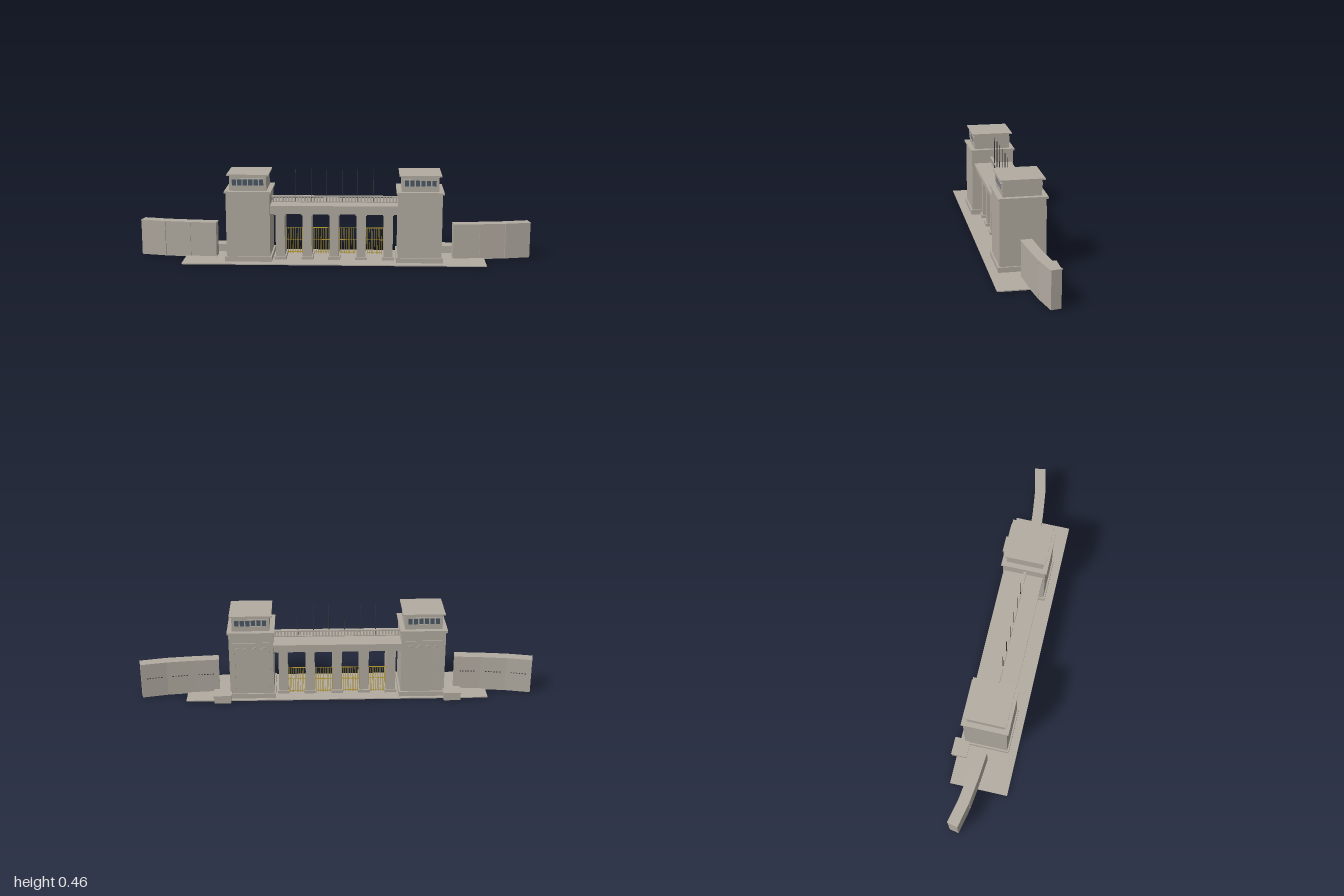
import * as THREE from 'three';

const mat = (name, hex) => {
  const m = new THREE.MeshStandardMaterial({ color: hex });
  m.name = name;
  return m;
};

export function createModel() {
  const model = new THREE.Group();
  model.name = 'gateway';
  const stone = mat('stone', 0xb2aba1);
  const glass = mat('windowGlass', 0x4a5866);
  const gold = mat('gateGold', 0xb89a2e);
  const dark = mat('darkMetal', 0x3c3b38);

  const add = (parent, name, geo, m, x, y, z) => {
    const mesh = new THREE.Mesh(geo, m);
    mesh.name = name;
    mesh.position.set(x, y, z);
    parent.add(mesh);
    return mesh;
  };
  // box given by its centre x, z range and y range
  const block = (parent, name, x, w, y0, y1, z0, z1, m = stone) =>
    add(parent, name, new THREE.BoxGeometry(w, y1 - y0, z1 - z0), m, x, (y0 + y1) / 2, (z0 + z1) / 2);
  const group = (name, parent = model) => {
    const g = new THREE.Group();
    g.name = name;
    parent.add(g);
    return g;
  };

  block(model, 'pavement', 0, 1.525, 0, 0.005, -0.133, 0.163);

  // towers
  for (const side of [-1, 1]) {
    const t = group(side > 0 ? 'leftTower' : 'rightTower');
    t.position.x = side * 0.43;
    block(t, 'towerBase', 0, 0.236, 0.005, 0.03, -0.115, 0.121);
    block(t, 'towerShaft', 0, 0.22, 0.03, 0.355, -0.107, 0.113);
    block(t, 'towerCornice', 0, 0.236, 0.354, 0.364, -0.115, 0.121);
    block(t, 'lookoutRoom', 0, 0.186, 0.364, 0.441, -0.089, 0.096);
    block(t, 'lookoutRoof', 0, 0.21, 0.441, 0.448, -0.103, 0.108);

    // window bands on front and back
    for (const f of [1, -1]) {
      const face = f > 0 ? 0.096 : -0.089;
      const plate = (name, x, w, y0, y1, d, m) =>
        block(t, name, x, w, y0, y1, Math.min(face, face + f * d), Math.max(face, face + f * d), m);
      plate('windowSill', 0, 0.172, 0.388, 0.392, 0.004, stone);
      plate('windowHead', 0, 0.172, 0.422, 0.426, 0.004, stone);
      for (let i = 0; i < 6; i++) plate('windowPane', (i - 2.5) * 0.0272, 0.021, 0.392, 0.422, 0.0025, glass);
      for (let i = 0; i < 7; i++) plate('windowMullion', (i - 3) * 0.0272, 0.006, 0.392, 0.422, 0.004, stone);
    }

    // raised relief frame on the back
    for (const x of [-0.087, 0.087]) block(t, 'reliefPost', x, 0.012, 0.05, 0.305, -0.112, -0.107);
    block(t, 'reliefLintel', 0, 0.186, 0.3, 0.309, -0.112, -0.107);
    for (let i = 0; i < 4; i++) {
      const hook = add(t, 'reliefHook', new THREE.TorusGeometry(0.013, 0.003, 5, 10, Math.PI * 0.75),
        stone, (i - 1.5) * 0.042, 0.268, -0.109);
      hook.rotation.z = 0.2;
    }

    // low pedestal behind the tower's outer corner
    block(t, 'pedestal', side * 0.148, 0.084, 0, 0.037, -0.157, -0.083);
    block(t, 'pedestalCap', side * 0.148, 0.092, 0.037, 0.042, -0.16, -0.08);
  }

  // bridge between the towers
  const bridge = group('bridge');
  block(bridge, 'architrave', 0, 0.64, 0.245, 0.282, -0.085, 0.09);
  block(bridge, 'bridgeSlab', 0, 0.64, 0.28, 0.29, -0.1, 0.102);
  block(bridge, 'railBottom', 0, 0.64, 0.29, 0.295, 0.003, 0.015);
  block(bridge, 'railTop', 0, 0.64, 0.317, 0.324, 0.002, 0.016);
  for (let i = 0; i < 40; i++) {
    block(bridge, 'baluster', (i - 19.5) * 0.016, 0.007, 0.295, 0.317, 0.005, 0.013);
  }
  for (let i = 0; i < 6; i++) {
    add(bridge, 'flagpole', new THREE.CylinderGeometry(0.0015, 0.002, 0.17, 6), dark, (i - 2.5) * 0.0786, 0.375, 0.013);
  }

  // piers
  const pitch = 0.1365;
  for (let i = -2; i <= 2; i++) {
    const p = group('pier', bridge);
    p.position.x = i * pitch;
    block(p, 'pierBase', 0, 0.06, 0.005, 0.02, -0.068, 0.074);
    block(p, 'pierShaft', 0, 0.046, 0.02, 0.235, -0.06, 0.066);
    block(p, 'pierCapital', 0, 0.057, 0.235, 0.246, -0.067, 0.073);
  }

  // gates and hanging lamps in the four openings
  for (let i = 0; i < 4; i++) {
    const x = (i - 1.5) * pitch;
    const g = group('gate', bridge);
    g.position.set(x, 0, -0.05);
    for (const y of [0.014, 0.08, 0.143]) block(g, 'gateRail', 0, 0.09, y - 0.0015, y + 0.0015, -0.0015, 0.0015, gold);
    for (let k = 0; k < 11; k++) {
      block(g, 'gateBar', (k - 5) * 0.0088, 0.0022, 0.006, 0.144, -0.0012, 0.0012, gold);
    }
    block(bridge, 'lamp', x, 0.014, 0.232, 0.245, -0.004, 0.01, dark);
  }

  // curved wing walls, three angled sections each
  const path = [[0.602, 0], [0.735, -0.011], [0.865, -0.027], [0.993, -0.055]];
  for (const side of [-1, 1]) {
    const wing = group(side > 0 ? 'leftWing' : 'rightWing');
    for (let i = 0; i < 3; i++) {
      const [x0, z0] = path[i], [x1, z1] = path[i + 1];
      const s = group('wingSection', wing);
      s.position.set(side * (x0 + x1) / 2, 0, (z0 + z1) / 2);
      s.rotation.y = side * Math.atan2(z0 - z1, x1 - x0);
      const len = Math.hypot(x1 - x0, z1 - z0);
      block(s, 'wingWall', 0, len, 0, 0.178, -0.025, 0.025);
      block(s, 'wingCoping', 0, len + 0.002, 0.178, 0.183, -0.028, 0.028);
      // row of small slots on the back
      for (let k = 0; k < 6; k++) block(s, 'wallSlot', (k - 2.5) * 0.014, 0.007, 0.1, 0.104, -0.0265, -0.025, dark);
    }
  }

  return model;
}
